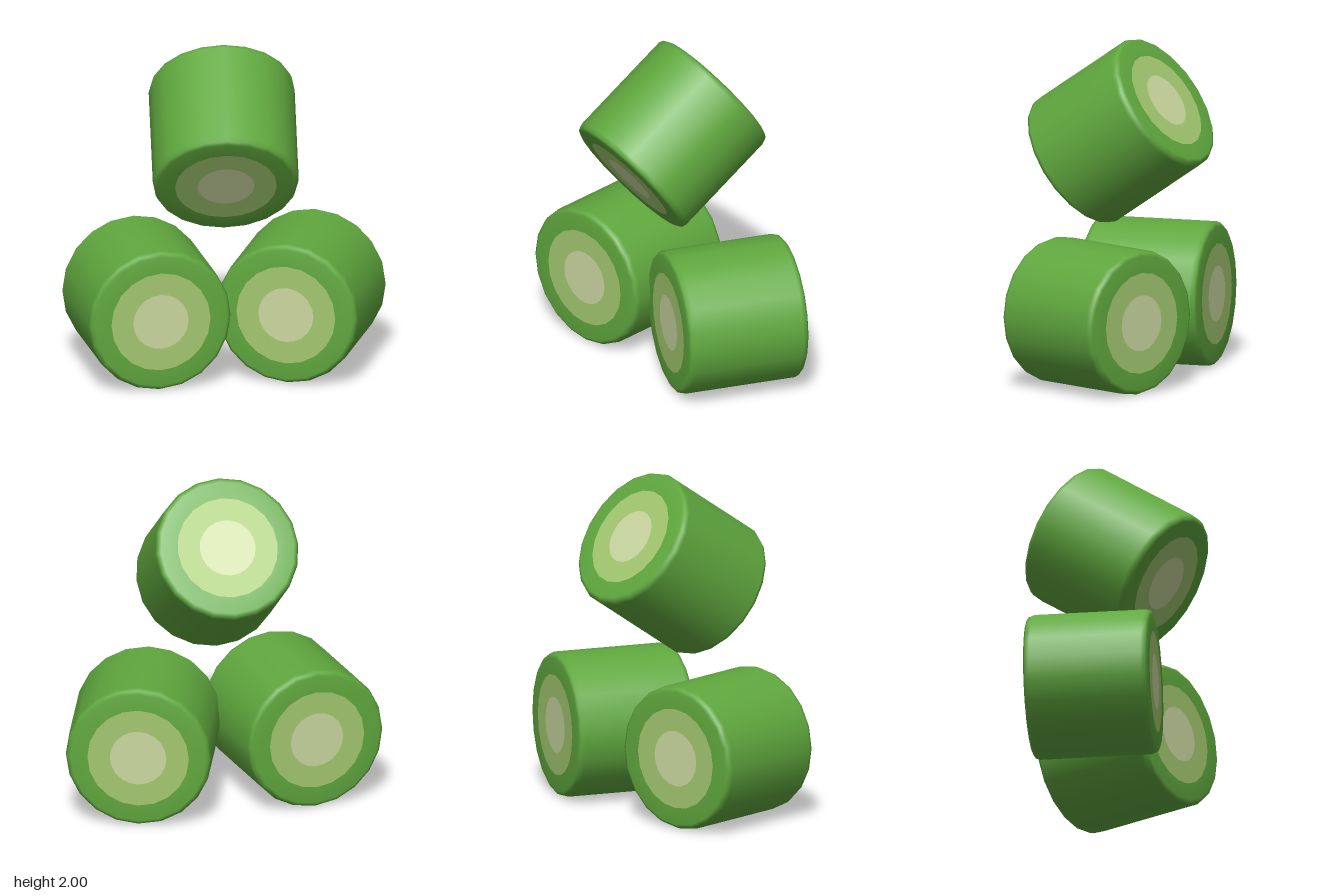
import * as THREE from 'three';

const RADIUS = 0.43, HALF = 0.37, SIDES = 20;
const RING = 0.3, CORE = 0.167;

export function createModel() {
  const model = new THREE.Group();
  model.name = 'stalkPile';

  const skin = new THREE.MeshStandardMaterial({ color: 0x60a83e });
  skin.name = 'skin green';
  const flesh = new THREE.MeshStandardMaterial({ color: 0xa3c870 });
  flesh.name = 'light green flesh';
  const pith = new THREE.MeshStandardMaterial({ color: 0xcbd8a0 });
  pith.name = 'pale core';

  // Skin profile: end rim, small bevel, straight side, mirrored at the other end
  const rim = [
    [RING, HALF], [RADIUS - 0.03, HALF - 0.002],
    [RADIUS - 0.01, HALF - 0.014], [RADIUS, HALF - 0.04],
  ];
  const profile = [
    ...rim.map(([r, h]) => new THREE.Vector2(r, -h)),
    ...rim.slice().reverse().map(([r, h]) => new THREE.Vector2(r, h)),
  ];
  // Axis along z; a quarter turn lines up the lathe's corners with the end discs
  const skinGeo = new THREE.LatheGeometry(profile, SIDES).rotateX(Math.PI / 2);
  const ringGeo = new THREE.RingGeometry(CORE, RING, SIDES, 1);
  const coreGeo = new THREE.CircleGeometry(CORE, SIDES);

  function addPiece(name, position, rotX, rotY) {
    const piece = new THREE.Group();
    piece.name = name;
    const add = (part, geo, mat) => {
      const mesh = new THREE.Mesh(geo, mat);
      mesh.name = part;
      piece.add(mesh);
      return mesh;
    };
    add('skin', skinGeo, skin);
    // Coloured cut faces on both ends
    for (const [end, turn, z] of [['front', 0, HALF], ['back', Math.PI, -HALF]]) {
      for (const [part, geo, mat] of [['Flesh', ringGeo, flesh], ['Core', coreGeo, pith]]) {
        const face = add(end + part, geo, mat);
        face.rotation.y = turn;
        face.position.z = z;
      }
    }
    piece.position.set(...position);
    piece.rotation.set(rotX, rotY, 0);
    model.add(piece);
  }

  addPiece('lowerRightPiece', [-0.465, RADIUS, 0.01], 0, 0.19);
  addPiece('lowerLeftPiece', [0.45, RADIUS, -0.075], 0, -0.29);
  addPiece('upperPiece', [-0.01, 1.455, 0.01], 0.6, 0);

  return model;
}
